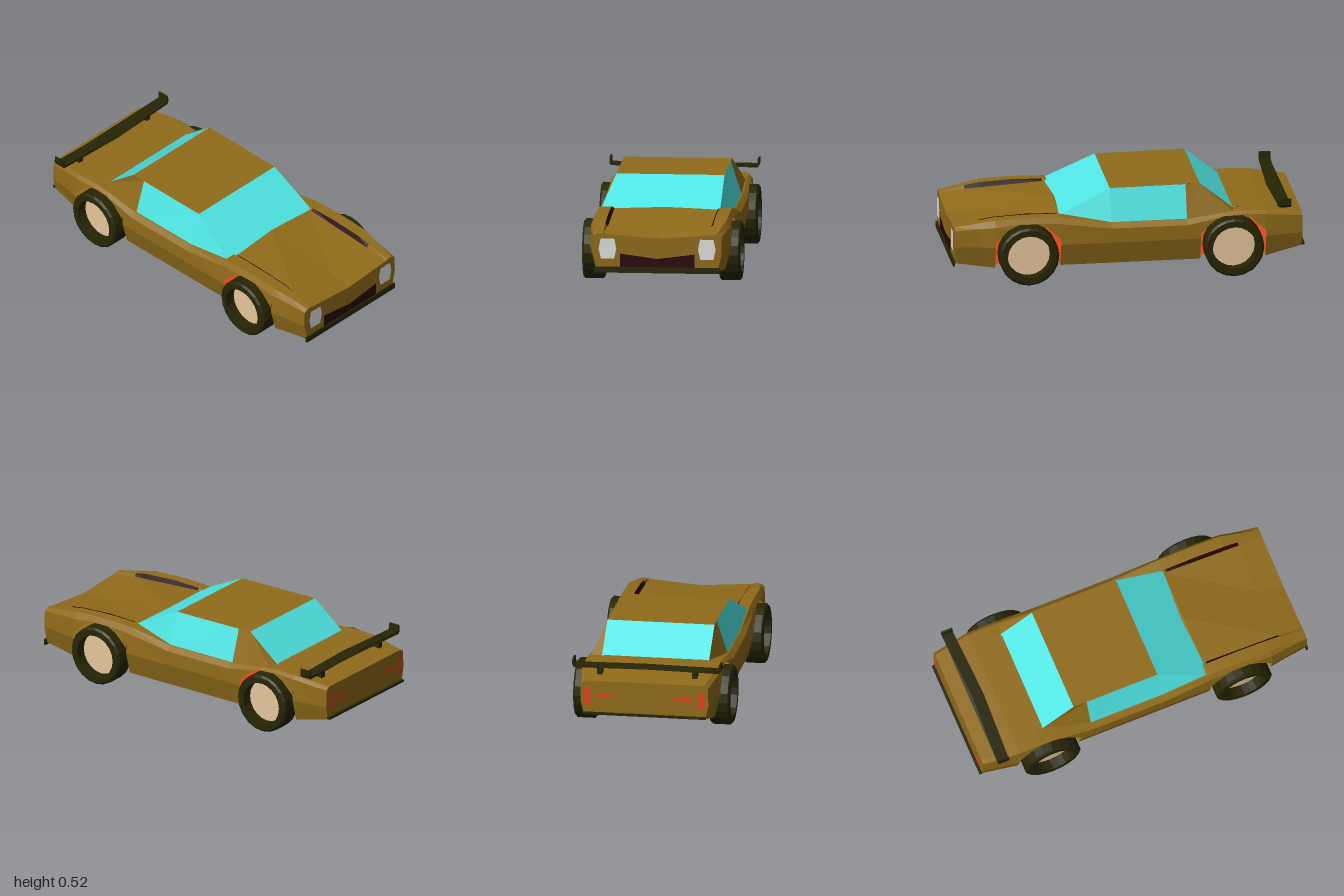
import * as THREE from 'three';

const mat = (name, color, side = THREE.FrontSide) => {
  const m = new THREE.MeshStandardMaterial({ color, side });
  m.name = name;
  return m;
};

// Body keys: z, width scale, sill y, shoulder y, fender y, hood edge y, centre y
const KEYS = [
  [0.985, 0.91, 0.12, 0.315, 0.33, 0.325, 0.302],
  [0.84, 0.96, 0.101, 0.328, 0.357, 0.339, 0.316],
  [0.76, 1, 0.09, 0.335, 0.37, 0.3436, 0.3265],
  [0.57, 1, 0.09, 0.352, 0.38, 0.3544, 0.3516],
  [0.385, 1, 0.09, 0.34, 0.374, 0.365, 0.376],
  [0.1, 1, 0.09, 0.303, 0.33, 0.33, 0.33],
  [-0.33, 1, 0.09, 0.303, 0.33, 0.33, 0.33],
  [-0.41, 1, 0.09, 0.318, 0.34, 0.34, 0.34],
  [-0.59, 1, 0.09, 0.353, 0.367, 0.367, 0.367],
  [-0.77, 1, 0.09, 0.345, 0.363, 0.363, 0.363],
  [-0.985, 0.91, 0.14, 0.318, 0.335, 0.335, 0.335],
];

function keyAt(z) {
  let i = 0;
  while (i < KEYS.length - 2 && z < KEYS[i + 1][0]) i++;
  const t = (z - KEYS[i][0]) / (KEYS[i + 1][0] - KEYS[i][0]);
  return KEYS[i].map((v, k) => THREE.MathUtils.lerp(v, KEYS[i + 1][k], t));
}

function sideX(y) {
  if (y < 0.2) return THREE.MathUtils.lerp(0.365, 0.4, (y - 0.09) / 0.11);
  return y < 0.3 ? 0.4 : 0.4 - (y - 0.3) * 0.2;
}

const mirrored = (pts) => pts.map(([x, y, z]) => [-x, y, z]).reverse();

// Left half of a cross-section, from the sill up to the hood edge
function sideSection([z, archY]) {
  const [, w, sill, ys, ye, h] = keyAt(z);
  const b = archY ?? sill, m = Math.max(b, 0.22);
  return [
    archY ? [sideX(b) * w, b, z] : [0.3, b, z],
    [sideX(b) * w, b, z], [sideX(m) * w, m, z], [sideX(ys) * w, ys, z],
    [0.372 * w, ye, z], [0.305, ye, z], [0.295, h, z],
  ];
}

// Hood or deck line across the car
function deckSection(z) {
  const [, , , , , h, c] = keyAt(z);
  return [[0.295, h, z], [0, c, z], [-0.295, h, z]];
}

function fromTriangles(points) {
  const g = new THREE.BufferGeometry();
  g.setAttribute('position', new THREE.Float32BufferAttribute(points.flat(), 3));
  g.computeVertexNormals();
  return g;
}

// Flat-faced skin through rows of points; rows at the same z are not joined
function skin(rows) {
  const t = [];
  for (let i = 0; i + 1 < rows.length; i++) {
    const a = rows[i], b = rows[i + 1];
    if (Math.abs(a[0][2] - b[0][2]) < 1e-6) continue;
    for (let j = 0; j + 1 < a.length; j++) t.push(a[j], b[j], a[j + 1], b[j], b[j + 1], a[j + 1]);
  }
  return fromTriangles(t);
}

// Flat panel as a fan, counter-clockwise from outside
function panel(pts) {
  const t = [];
  for (let i = 1; i + 1 < pts.length; i++) t.push(pts[0], pts[i], pts[i + 1]);
  return fromTriangles(t);
}
const shape = (pts) => new THREE.Shape(pts.map(([x, y]) => new THREE.Vector2(x, y)));
const flatShape = (pts) => new THREE.ShapeGeometry(shape(pts));

export function createModel() {
  const car = new THREE.Group();
  car.name = 'car';
  const paint = mat('body paint', 0x906b1a, THREE.DoubleSide);
  const glass = mat('glass', 0x4fe6e4);
  const black = mat('tyre black', 0x272505);
  const lamp = mat('headlight', 0xe0e0e0);
  const maroon = mat('dark vent', 0x280406, THREE.DoubleSide);
  const red = mat('red', 0xde451c, THREE.DoubleSide);
  const rimTan = mat('rim tan', 0xe6c69c, THREE.DoubleSide);

  const add = (name, geo, m, x = 0, y = 0, z = 0, parent = car) => {
    const mesh = new THREE.Mesh(geo, m);
    mesh.name = name;
    mesh.position.set(x, y, z);
    parent.add(mesh);
    return mesh;
  };
  const box = (name, w, h, d, m, x, y, z) => add(name, new THREE.BoxGeometry(w, h, d), m, x, y, z);

  // Body sides with open wheel arches
  const arch = (c) => [
    [c + 0.185], [c + 0.185, 0.25], [c + 0.11, 0.32], [c + 0.05, 0.345],
    [c - 0.05, 0.345], [c - 0.11, 0.32], [c - 0.185, 0.25], [c - 0.185],
  ];
  const stations = [[0.985], [0.84], ...arch(0.573), [0.1], [-0.33], ...arch(-0.59), [-0.985]];
  const side = stations.map(sideSection);
  add('bodySideLeft', skin(side), paint);
  add('bodySideRight', skin(side.map(mirrored)), paint);

  // Hood, rear deck and end faces
  add('hood', skin([0.985, 0.84, 0.385, 0.36].map(deckSection)), paint);
  add('rearDeck', skin([-0.59, -0.77, -0.985].map(deckSection)), paint);
  const endFace = (z) => {
    const half = sideSection([z]);
    return flatShape([...half, [0, keyAt(z)[6]], ...mirrored(half)]);
  };
  add('noseFace', endFace(0.985), paint, 0, 0, 0.985);
  add('tailFace', endFace(-0.985), paint, 0, 0, -0.985).rotation.y = Math.PI;

  // Underside
  const under = (zs) => skin(zs.map((z) => [[-0.3, keyAt(z)[2], z], [0.3, keyAt(z)[2], z]]));
  add('frontUnderside', under([0.985, 0.86]), paint);
  add('floor', under([0.86, 0.76, -0.77, -0.87]), red);
  add('rearUnderside', under([-0.87, -0.985]), paint);

  // Cabin
  add('roof', panel([[0.305, 0.512, 0.1], [0.305, 0.517, -0.41], [-0.305, 0.517, -0.41], [-0.305, 0.512, 0.1]]), paint);
  add('windshield', panel([[0.305, 0.366, 0.385], [0.305, 0.512, 0.1],
    [-0.305, 0.512, 0.1], [-0.305, 0.366, 0.385]]), glass);
  add('rearWindow', panel([[0.305, 0.364, -0.6], [-0.305, 0.364, -0.6], [-0.305, 0.517, -0.41], [0.305, 0.517, -0.41]]), glass);
  const sidePanels = [
    ['quarterGlass', glass, [[0.365, 0.33, 0.1], [0.305, 0.512, 0.1], [0.305, 0.366, 0.385], [0.365, 0.366, 0.383]]],
    ['sideGlass', glass, [[0.365, 0.33, 0.1], [0.365, 0.33, -0.33], [0.305, 0.515, -0.33], [0.305, 0.512, 0.1]]],
    ['rearPillar', paint, [[0.305, 0.517, -0.41], [0.305, 0.515, -0.33], [0.365, 0.33, -0.33],
      [0.365, 0.338, -0.41], [0.365, 0.364, -0.59], [0.305, 0.364, -0.6]]],
  ];
  for (const [name, m, pts] of sidePanels) {
    add(name + 'Left', panel(pts), m);
    add(name + 'Right', panel(mirrored(pts)), m);
  }

  // Hood slits along the fender step
  const slit = [0.84, 0.76, 0.57, 0.4].map((z) => {
    const [, , , , ye, h] = keyAt(z);
    return [[0.304, ye + 0.003, z], [0.29, h + 0.004, z]];
  });
  add('hoodSlitLeft', skin(slit), maroon);
  add('hoodSlitRight', skin(slit.map(mirrored)), maroon);

  // Nose details
  add('grille', flatShape([[-0.21, 0.14], [0.21, 0.14], [0.21, 0.215], [0, 0.187], [-0.21, 0.215]]), maroon, 0, 0, 0.989);
  box('frontBumper', 0.71, 0.033, 0.012, black, 0, 0.123, 0.99);
  for (const s of [1, -1]) {
    add('headlight', flatShape([[-0.037, -0.058], [0.037, -0.058], [0.05, 0], [0.038, 0.058], [-0.038, 0.058], [-0.05, 0]]),
      lamp, s * 0.28, 0.243, 0.991);
    // Tail lights: an upright lamp and a wedge pointing to the middle
    const lights = [
      ['tailLight', [[0.305, 0.195], [0.342, 0.195], [0.342, 0.293], [0.305, 0.293]]],
      ['tailWedge', [[0.16, 0.245], [0.27, 0.235], [0.27, 0.265], [0.16, 0.255]]],
    ];
    for (const [name, pts] of lights) {
      add(name, flatShape(s > 0 ? pts : mirrored(pts)), red, 0, 0, -0.99).rotation.y = Math.PI;
    }
  }
  box('rearBumper', 0.7, 0.012, 0.02, black, 0, 0.147, -0.99);

  // Rear wing, swept back at the middle, with upturned tips
  const outline = [[0, 0.388], [0.415, 0.388], [0.424, 0.405], [0.422, 0.44], [0.413, 0.438], [0.41, 0.402], [0, 0.402]];
  const wingGeo = new THREE.ExtrudeGeometry(shape([...outline, ...mirrored(outline.slice(1, -1))]),
    { depth: 0.066, bevelEnabled: false });
  const p = wingGeo.attributes.position;
  for (let i = 0; i < p.count; i++) p.setZ(i, p.getZ(i) - 0.896 - 0.018 * Math.abs(p.getX(i)) / 0.42);
  wingGeo.computeVertexNormals();
  add('rearWing', wingGeo, black);
  for (const s of [1, -1]) box('wingSupport', 0.03, 0.045, 0.04, black, s * 0.27, 0.367, -0.875);

  // Wheels: deep tyre ring around a central rim disc
  const tyreProfile = [[0.122, 0], [0.124, -0.06], [0.158, -0.06], [0.169, -0.05],
    [0.169, 0.05], [0.158, 0.06], [0.124, 0.06], [0.122, 0]].map(([r, y]) => new THREE.Vector2(r, y));
  const tyreGeo = new THREE.LatheGeometry(tyreProfile, 20).toNonIndexed();
  tyreGeo.computeVertexNormals();
  const rimGeo = new THREE.CircleGeometry(0.123, 20);
  for (const s of [1, -1]) for (const [name, z] of [['frontWheel', 0.573], ['rearWheel', -0.59]]) {
    const wheel = new THREE.Group();
    wheel.name = name + (s > 0 ? 'Left' : 'Right');
    wheel.position.set(s * 0.385, 0.169, z);
    add('tyre', tyreGeo, black, 0, 0, 0, wheel).rotation.z = Math.PI / 2;
    add('rim', rimGeo, rimTan, 0, 0, 0, wheel).rotation.y = s * Math.PI / 2;
    car.add(wheel);
  }
  return car;
}
